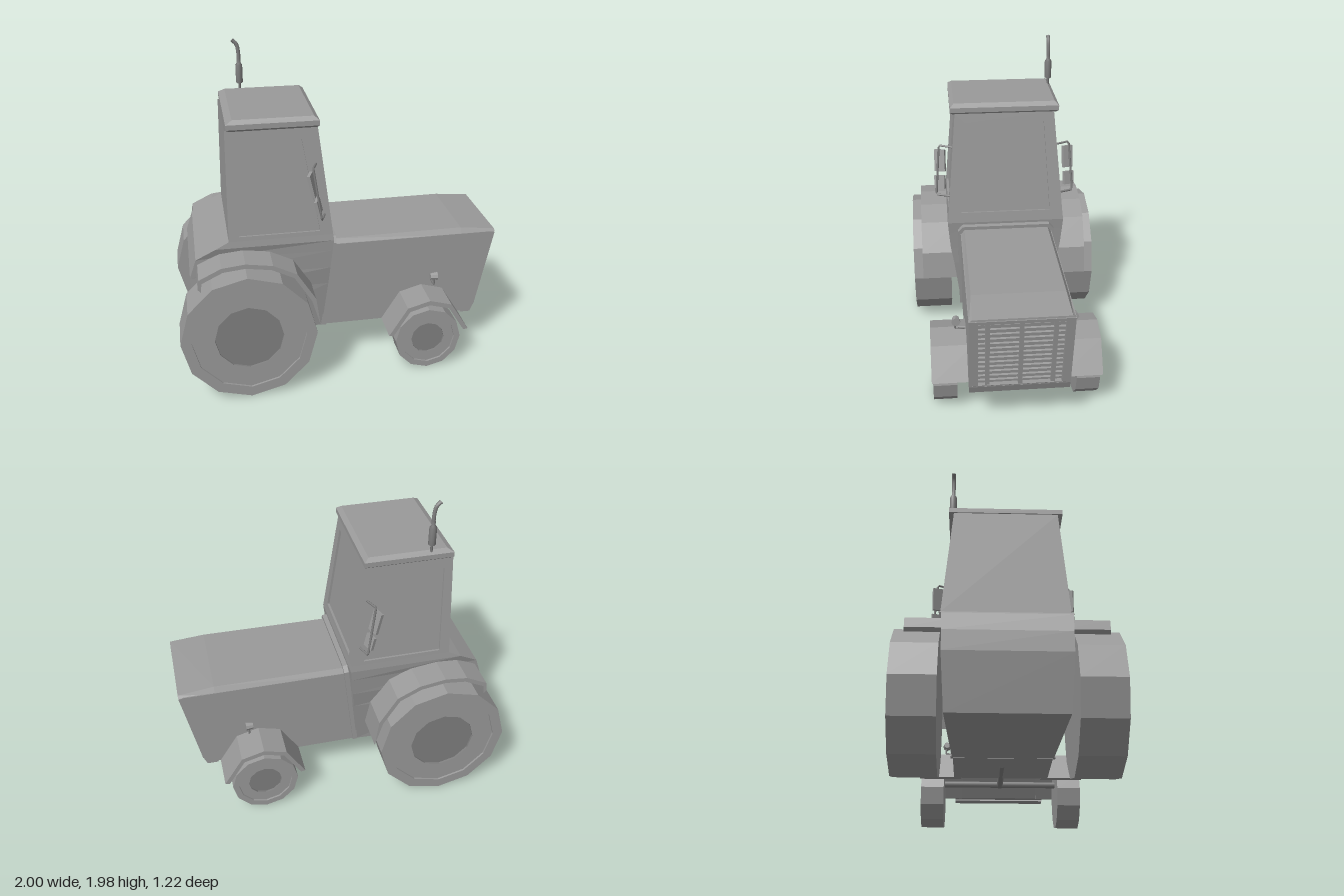
import * as THREE from 'three';

const paint = (color, flatShading = true) =>
  new THREE.MeshStandardMaterial({ color, flatShading, side: THREE.DoubleSide });
const mat = paint(0x9a9a9a);
const hubMat = paint(0x808080);
const darkMat = paint(0x808080, false);
const V = (x, y, z) => new THREE.Vector3(x, y, z);

export function createModel() {
  const model = new THREE.Group();
  const add = (name, geo, parent = model, m = mat) => {
    const mesh = new THREE.Mesh(geo, m);
    mesh.name = name;
    parent.add(mesh);
    return mesh;
  };
  const quads = (list) => {
    const p = [];
    for (const [a, b, c, d] of list) for (const v of [a, b, c, a, c, d]) p.push(v.x, v.y, v.z);
    const g = new THREE.BufferGeometry();
    g.setAttribute('position', new THREE.Float32BufferAttribute(p, 3));
    g.computeVertexNormals();
    return g;
  };
  // Skin between four-cornered sections, closed at both ends
  const loft = (rings) => {
    const list = [[...rings[0]].reverse(), rings[rings.length - 1]];
    for (let r = 0; r < rings.length - 1; r++) {
      for (let i = 0; i < 4; i++) {
        const j = (i + 1) % 4;
        list.push([rings[r][i], rings[r][j], rings[r + 1][j], rings[r + 1][i]]);
      }
    }
    return quads(list);
  };
  const level = (y, x0, x1, w0, w1 = w0) => [V(x1, y, w1), V(x1, y, -w1), V(x0, y, -w0), V(x0, y, w0)];
  const shape = (pts) => new THREE.Shape(pts.map(([x, y]) => new THREE.Vector2(x, y)));
  const extrude = (s, depth, z0) =>
    new THREE.ExtrudeGeometry(s, { depth, bevelEnabled: false }).translate(0, 0, z0);
  const shrink = (pts, cx, cy, k) => pts.map(([x, y]) => [cx + (x - cx) * k, cy + (y - cy) * k]);
  const rod = (name, pts, r, parent = model) => {
    const path = new THREE.CurvePath();
    for (let i = 1; i < pts.length; i++) path.add(new THREE.LineCurve3(pts[i - 1], pts[i]));
    add(name, new THREE.TubeGeometry(path, 24, r, 6), parent, darkMat);
  };

  // Lower cab and rounded rear body
  add('rearBody', loft([
    level(0.26, -0.85, -0.115, 0.33, 0.3), level(0.58, -0.92, -0.08, 0.35, 0.34),
    level(0.7, -0.92, -0.07, 0.35, 0.36), level(0.82, -0.88, -0.058, 0.355, 0.37),
    level(0.89, -0.76, -0.05, 0.375), level(0.93, -0.68, -0.055, 0.37),
  ]));

  // Cab walls: each a frame around a set-back pane
  const cab = new THREE.Group();
  cab.name = 'cab';
  model.add(cab);
  const wall = (name, outer, uvs) => {
    const [bl, br, tr, tl] = outer;
    const n = br.clone().sub(bl).cross(tl.clone().sub(bl)).normalize().multiplyScalar(-0.015);
    const inner = uvs.map(([u, v]) => bl.clone().lerp(br, u).lerp(tl.clone().lerp(tr, u), v));
    const pane = inner.map((p) => p.clone().add(n));
    const list = [];
    for (let i = 0; i < 4; i++) {
      const j = (i + 1) % 4;
      list.push([outer[i], outer[j], inner[j], inner[i]], [inner[i], inner[j], pane[j], pane[i]]);
    }
    add(name + 'Frame', quads(list), cab);
    add(name + 'Window', quads([pane]), cab);
  };
  const b = level(0.93, -0.68, -0.055, 0.37);
  const t = level(1.6, -0.67, -0.135, 0.31);
  wall('left', [b[3], b[0], t[0], t[3]], [[0.1, 0.04], [0.88, 0.04], [0.81, 0.89], [0.095, 0.89]]);
  wall('right', [b[1], b[2], t[2], t[1]], [[0.12, 0.04], [0.9, 0.04], [0.905, 0.89], [0.19, 0.89]]);
  wall('front', [b[0], b[1], t[1], t[0]], [[0.11, 0.04], [0.89, 0.04], [0.89, 0.91], [0.11, 0.91]]);
  add('rearWall', quads([[b[2], b[3], t[3], t[2]]]), cab);
  add('roof', loft([
    level(1.595, -0.645, -0.14, 0.32), level(1.61, -0.663, -0.127, 0.34),
    level(1.64, -0.663, -0.127, 0.34), level(1.662, -0.625, -0.155, 0.315),
  ]), cab);

  // Hood sides with the wheel arch cut through
  const arch = [[0.275, 0.26], [0.39, 0.445], [0.53, 0.485], [0.67, 0.445], [0.785, 0.26]];
  const cut = shrink(arch, 0.53, 0.21, 0.92);
  cut[0][1] = cut[4][1] = 0.26;
  add('hood', extrude(shape([
    [-0.11, 0.26], ...cut, [0.84, 0.26], [0.865, 0.31], [0.97, 0.822], [-0.05, 0.822],
  ]), 0.59, -0.295));
  const section = (x, y0, y1, w0, w1) => [V(x, y0, -w0), V(x, y1, -w1), V(x, y1, w1), V(x, y0, w0)];
  add('hoodTop', loft([
    section(-0.05, 0.815, 0.85, 0.295, 0.27), section(0.78, 0.815, 0.855, 0.295, 0.27),
    section(1, 0.82, 0.832, 0.292, 0.275),
  ]));

  // Panels that lean forward across the hood
  const leaning = (name, x, y, tilt) => {
    const g = new THREE.Group();
    g.name = name;
    g.position.set(x, y, 0);
    g.rotation.set(0, Math.PI / 2, -tilt, 'ZYX');
    model.add(g);
    return g;
  };
  const collar = leaning('hoodCollar', -0.12, 0.265, 0.114);
  add('collarPanel', extrude(shape([
    [-0.31, 0], [0.31, 0], [0.31, 0.58], [0.28, 0.615], [-0.28, 0.615], [-0.31, 0.58],
  ]), 0.03, 0), collar);

  const grille = leaning('grille', 0.865, 0.31, 0.201);
  const frame = shape([[-0.295, 0], [0.295, 0], [0.295, 0.522], [-0.295, 0.522]]);
  frame.holes.push(shape([[-0.243, 0.004], [0.243, 0.004], [0.243, 0.5], [-0.243, 0.5]]));
  add('grilleFrame', extrude(frame, 0.03, 0), grille);
  for (let i = -1; i <= 1; i++) {
    add('grillePost', new THREE.BoxGeometry(0.025, 0.5, 0.024).translate(i * 0.19, 0.252, 0.012), grille);
  }
  for (let i = 0; i < 13; i++) {
    add('grilleSlat', new THREE.BoxGeometry(0.486, 0.015, 0.014).translate(0, 0.03 + i * 0.037, 0.007), grille);
  }
  add('frontLip', extrude(shape([[0.8, 0.25], [0.87, 0.25], [0.897, 0.315], [0.85, 0.315]]), 0.59, -0.295));

  // Wheels: flat tread, outer face stepped in to a dark hub
  const wheel = (name, x, r, z0, z1, rim, hub, s) => {
    const wheelGroup = new THREE.Group();
    wheelGroup.name = name;
    wheelGroup.rotation.x = s * Math.PI / 2;
    wheelGroup.position.set(x, r, 0);
    model.add(wheelGroup);
    const lathe = (prof) => new THREE.LatheGeometry(prof.map(([a, h]) => new THREE.Vector2(a, h)), 12);
    const z2 = z1 - 0.012;
    add('tyre', lathe([[0, z0], [r, z0], [r, z1], [rim, z1], [rim, z2], [hub, z2]]), wheelGroup);
    add('hub', lathe([[hub, z2], [hub, z2 - 0.012], [0, z2 - 0.012]]), wheelGroup, hubMat);
  };
  // Rear fender narrows to a point at its front end
  const rearArch = [[-0.88, 0.73], [-0.872, 0.79], [-0.74, 0.855], [-0.6, 0.87], [-0.44, 0.845],
    [-0.3, 0.775], [-0.19, 0.6], [-0.165, 0.42]];
  const rearInner = shrink(rearArch.slice(0, -1), -0.6, 0.41, 0.94);
  const frontInner = shrink(arch, 0.53, 0.21, 0.89);
  const fender = (name, outer, inner, z0, z1, s) =>
    add(name, extrude(shape([...outer, ...[...inner].reverse()]), z1 - z0, s > 0 ? z0 : -z1));

  for (const s of [1, -1]) {
    const side = s > 0 ? 'left' : 'right';
    wheel(side + 'RearWheel', -0.597, 0.405, 0.36, 0.61, 0.34, 0.205, s);
    wheel(side + 'FrontWheel', 0.53, 0.208, 0.36, 0.503, 0.17, 0.105, s);
    fender(side + 'RearFender', rearArch, rearInner, 0.3, 0.55, s);
    fender(side + 'FrontFender', arch, frontInner, 0.25, 0.51, s);

    // Mirrors on a bent bracket
    const mirror = new THREE.Group();
    mirror.name = side + 'Mirror';
    model.add(mirror);
    rod('mirrorBracket', [V(-0.15, 1.375, s * 0.33), V(-0.18, 1.38, s * 0.415),
      V(-0.135, 1.06, s * 0.44), V(-0.105, 1.06, s * 0.355)], 0.007, mirror);
    for (const [x, y, z, h] of [[-0.185, 1.275, 0.41, 0.14], [-0.152, 1.14, 0.415, 0.085]]) {
      const plate = add('mirrorPlate', new THREE.BoxGeometry(0.02, h, 0.07), mirror);
      plate.position.set(x, y, s * z);
      plate.rotation.set(0, s * -0.4, 0.22, 'ZYX');
    }

    // Side lamp on its stalk
    rod(side + 'LampStalk', [V(0.595, 0.515, s * 0.28), V(0.595, 0.515, s * 0.36), V(0.595, 0.57, s * 0.36)], 0.006);
    add(side + 'Lamp', new THREE.CylinderGeometry(0.027, 0.02, 0.045, 8)
      .rotateZ(-Math.PI / 2).translate(0.592, 0.57, s * 0.355));
  }

  // Front axle and the beam that carries it
  rod('frontAxle', [V(0.53, 0.285, -0.38), V(0.53, 0.285, 0.38)], 0.02);
  rod('axleBeam', [V(0.05, 0.27, 0), V(0.56, 0.285, 0)], 0.02);

  // Exhaust stack
  const exhaust = new THREE.Group();
  exhaust.name = 'exhaust';
  exhaust.position.set(-0.527, 0, -0.32);
  model.add(exhaust);
  add('muffler', new THREE.LatheGeometry(
    [[0.008, 1.62], [0.008, 1.69], [0.022, 1.7], [0.022, 1.81], [0.012, 1.825], [0.012, 1.85]]
      .map(([r, y]) => new THREE.Vector2(r, y)), 10), exhaust, darkMat);
  add('exhaustPipe', new THREE.TubeGeometry(new THREE.CatmullRomCurve3(
    [V(0, 1.82, 0), V(0, 1.89, 0), V(-0.01, 1.94, 0), V(-0.035, 1.967, 0)]), 12, 0.012, 8), exhaust, darkMat);

  return model;
}
